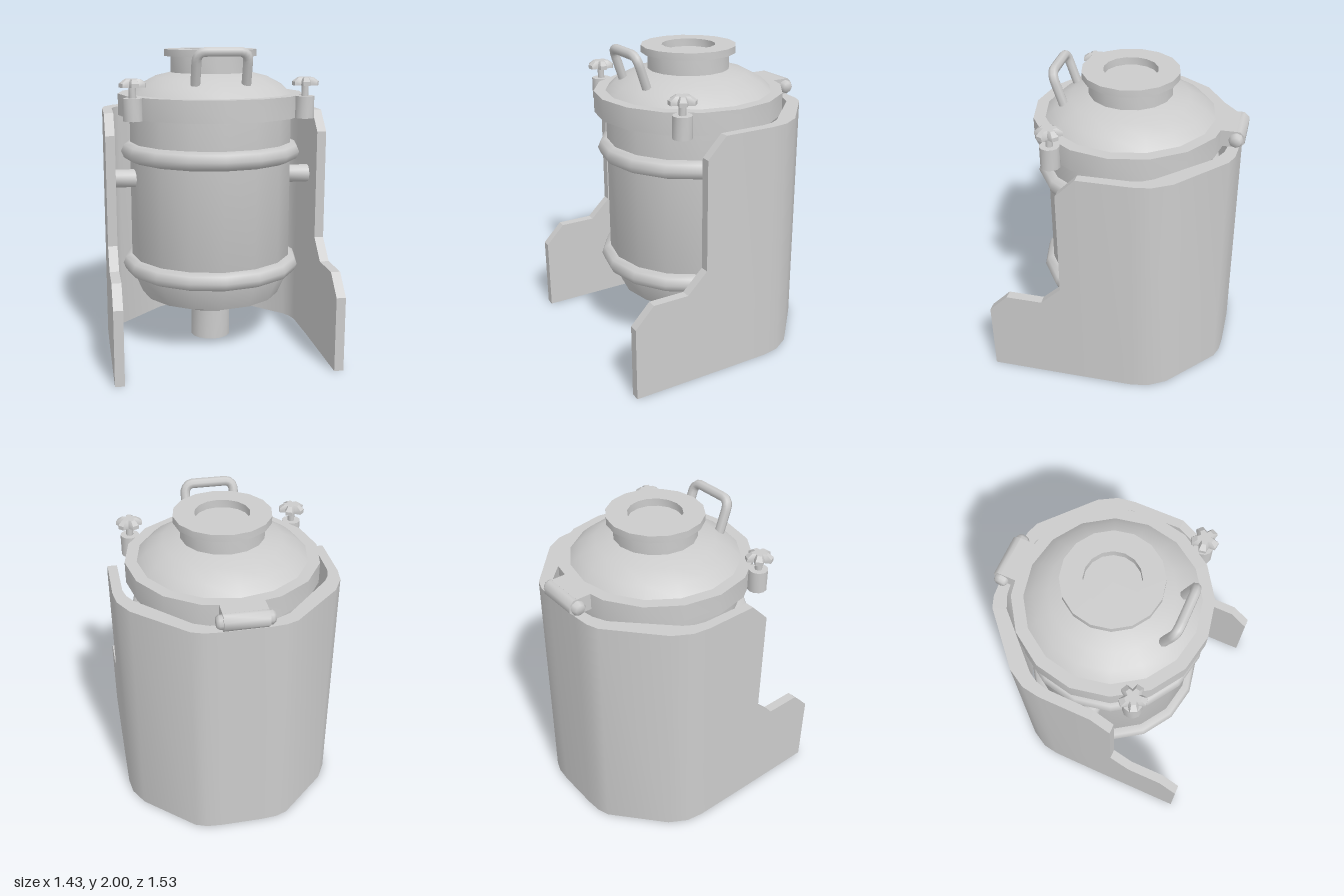
import * as THREE from 'three';
import { toCreasedNormals } from 'three/addons/utils/BufferGeometryUtils.js';

const SIDES = 16;
const AXIS_Z = -0.025;
const material = new THREE.MeshStandardMaterial({ color: 0xcccccc });

function add(parent, name, geometry, x = 0, y = 0, z = 0, crease = 0.6) {
  const mesh = new THREE.Mesh(toCreasedNormals(geometry, crease), material);
  mesh.name = name;
  mesh.position.set(x, y, z);
  parent.add(mesh);
  return mesh;
}

// Profiles run from bottom to top as [radius, y]
function lathe(profile) {
  return new THREE.LatheGeometry(profile.map(([r, y]) => new THREE.Vector2(r, y)), SIDES);
}

// U-shaped shell: a rectangular section swept along the plan, with a height per station
function shellGeometry() {
  // [outer x, outer z, inner x, inner z, height]
  const half = [
    [0.715, 0.765, 0.655, 0.765, 0.48],
    [0.715, 0.64, 0.655, 0.64, 0.61],
    [0.715, 0.405, 0.655, 0.405, 0.61],
    [0.715, 0.272, 0.655, 0.272, 0.74],
    [0.715, 0.272, 0.655, 0.272, 1.45],
    [0.715, 0.146, 0.655, 0.146, 1.58],
    [0.713, -0.19, 0.65, -0.17, 1.58],
    [0.696, -0.3, 0.632, -0.24, 1.58],
    [0.63, -0.415, 0.596, -0.3, 1.58],
    [0.316, -0.695, 0.288, -0.61, 1.58],
    [0.24, -0.722, 0.2, -0.65, 1.58],
    [0.14, -0.73, 0.14, -0.66, 1.58],
  ];
  const mirrored = half.map(([ox, oz, ix, iz, h]) => [-ox, oz, -ix, iz, h]).reverse();
  const stations = [...half, ...mirrored];
  const positions = [];
  const index = [];
  stations.forEach(([ox, oz, ix, iz, h], i) => {
    positions.push(ox, 0, oz, ox, h, oz, ix, h, iz, ix, 0, iz);
    if (i === 0) return;
    for (let k = 0; k < 4; k++) {
      const a = (i - 1) * 4 + k, b = (i - 1) * 4 + (k + 1) % 4;
      index.push(a, a + 4, b, b, a + 4, b + 4);
    }
  });
  const n = (stations.length - 1) * 4;
  index.push(0, 1, 2, 0, 2, 3, n, n + 2, n + 1, n, n + 3, n + 2);
  const geometry = new THREE.BufferGeometry();
  geometry.setAttribute('position', new THREE.Float32BufferAttribute(positions, 3));
  geometry.setIndex(index);
  return geometry;
}

// Five-lobed knob that narrows towards the top
function knobGeometry() {
  const points = [];
  for (let i = 0; i < 5; i++) {
    const a = Math.atan2(0.88, -0.46) + i * Math.PI * 0.4;
    for (const [da, r] of [[-0.26, 0.085], [0.26, 0.085], [Math.PI / 5, 0.052]]) {
      points.push(new THREE.Vector2(Math.cos(a + da) * r, Math.sin(a + da) * r));
    }
  }
  const geometry = new THREE.ExtrudeGeometry(new THREE.Shape(points), { depth: 0.05, steps: 2, bevelEnabled: false });
  geometry.rotateX(-Math.PI / 2);
  const p = geometry.attributes.position;
  for (let i = 0; i < p.count; i++) {
    const s = p.getY(i) > 0.04 ? 0.6 : 1;
    p.setXYZ(i, p.getX(i) * s, p.getY(i), p.getZ(i) * s);
  }
  return geometry;
}

// Lid handle: two leaning legs joined by a bar with rounded corners
function handleGeometry() {
  const v = (x, y, z) => new THREE.Vector3(x, y, z);
  const path = new THREE.CurvePath();
  path.add(new THREE.LineCurve3(v(-0.16, 1.76, 0.365), v(-0.16, 1.91, 0.415)));
  path.add(new THREE.QuadraticBezierCurve3(v(-0.16, 1.91, 0.415), v(-0.16, 1.97, 0.435), v(-0.1, 1.97, 0.435)));
  path.add(new THREE.LineCurve3(v(-0.1, 1.97, 0.435), v(0.1, 1.97, 0.435)));
  path.add(new THREE.QuadraticBezierCurve3(v(0.1, 1.97, 0.435), v(0.16, 1.97, 0.435), v(0.16, 1.91, 0.415)));
  path.add(new THREE.LineCurve3(v(0.16, 1.91, 0.415), v(0.16, 1.76, 0.365)));
  return new THREE.TubeGeometry(path, 32, 0.031, 8);
}

export function createModel() {
  const model = new THREE.Group();
  model.name = 'pressureVessel';

  add(model, 'shell', shellGeometry());

  // Tank with rounded bottom
  add(model, 'tank', lathe([
    [0, 0.265], [0.3, 0.265], [0.47, 0.33], [0.54, 0.49], [0.54, 1.56],
  ]), 0, 0, AXIS_Z);
  add(model, 'drainPipe', new THREE.CylinderGeometry(0.135, 0.135, 0.28, SIDES), 0, 0.14, AXIS_Z);
  for (const y of [0.54, 1.31]) {
    const ring = new THREE.TorusGeometry(0.54, 0.061, 8, SIDES).rotateX(Math.PI / 2);
    add(model, 'tankRing', ring, 0, y, AXIS_Z, 1);
  }

  // Lid: rim, dome, neck and recessed top flange
  add(model, 'lid', lathe([
    [0.5, 1.55], [0.615, 1.55], [0.615, 1.69], [0.54, 1.69], [0.48, 1.745], [0.38, 1.797],
    [0.265, 1.825], [0.265, 1.93], [0.307, 1.93], [0.307, 1.975],
    [0.172, 1.975], [0.172, 1.925], [0, 1.925],
  ]), 0, 0, AXIS_Z);
  add(model, 'lidHandle', handleGeometry(), 0, 0, 0, 1);

  // Mirrored trunnions and lid clamps
  for (const side of [1, -1]) {
    const trunnion = new THREE.CylinderGeometry(0.06, 0.06, 0.15, 12).rotateZ(Math.PI / 2);
    add(model, 'trunnion', trunnion, side * 0.585, 1.14, 0.06, 1);

    const clamp = new THREE.Group();
    clamp.name = 'lidClamp';
    clamp.position.set(side * 0.545, 0, 0.343);
    add(clamp, 'clampBase', new THREE.CylinderGeometry(0.061, 0.061, 0.14, 12), 0, 1.62, 0, 1);
    add(clamp, 'clampPost', new THREE.CylinderGeometry(0.023, 0.023, 0.09, 8), 0, 1.725, 0, 1);
    add(clamp, 'clampKnob', knobGeometry(), 0, 1.757, 0);
    clamp.scale.x = side;
    model.add(clamp);
  }

  // Hinge at the back of the lid
  const hinge = new THREE.Group();
  hinge.name = 'hinge';
  add(hinge, 'hingeArm', new THREE.BoxGeometry(0.27, 0.106, 0.16), 0, 1.637, -0.63);
  const barrel = new THREE.CylinderGeometry(0.057, 0.057, 0.27, 8, 1, false, Math.PI / 8).rotateZ(Math.PI / 2);
  add(hinge, 'hingeBarrel', barrel, 0, 1.637, -0.71, 1);
  const pin = new THREE.LatheGeometry([[0, -0.172], [0.032, -0.172], [0.045, -0.155], [0.045, 0.155], [0.032, 0.172], [0, 0.172]]
    .map(([r, y]) => new THREE.Vector2(r, y)), 8).rotateZ(Math.PI / 2);
  add(hinge, 'hingePin', pin, 0, 1.637, -0.71, 1);
  model.add(hinge);

  return model;
}
